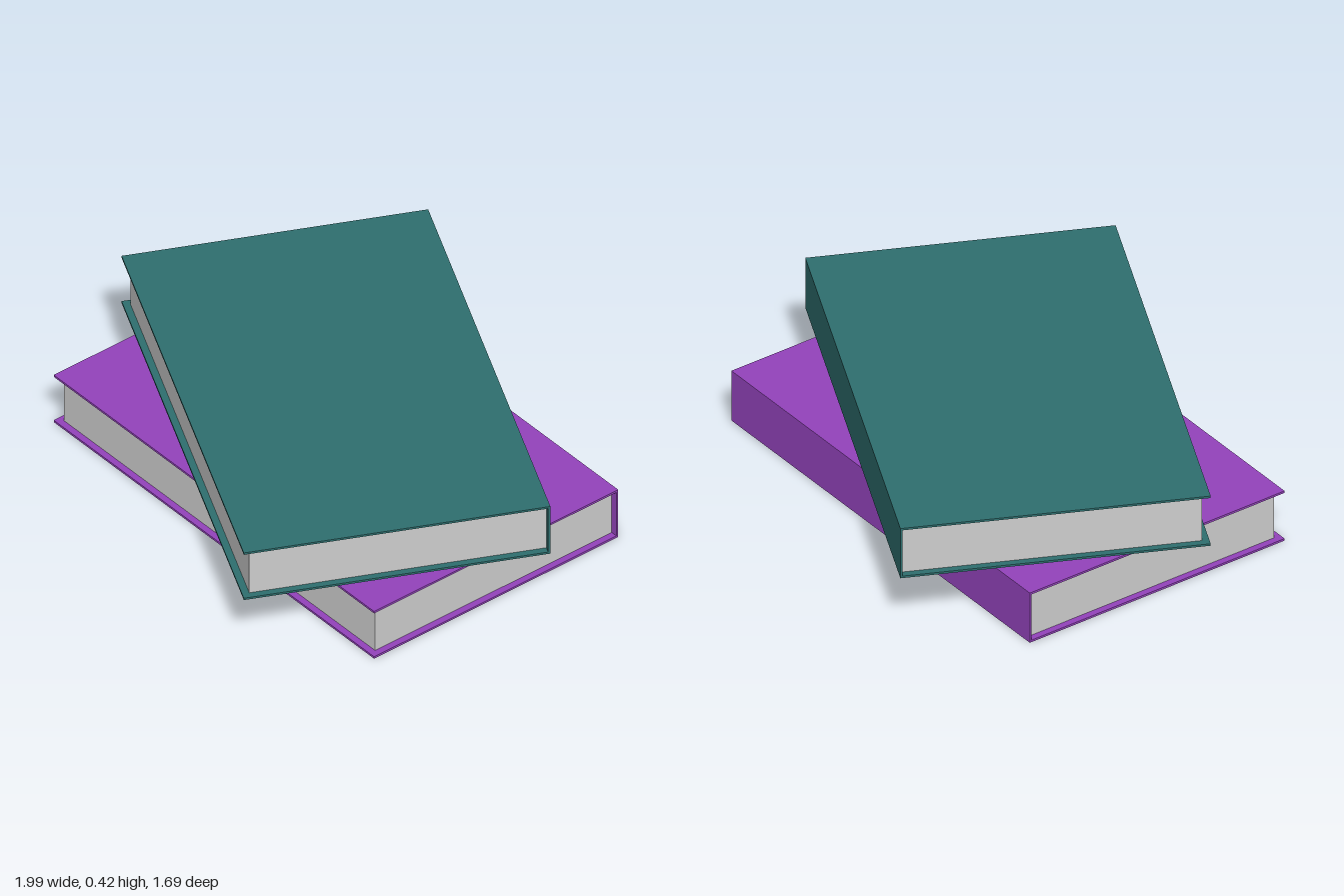
import * as THREE from 'three';

const LENGTH = 1.7, DEPTH = 1.065, HEIGHT = 0.2, BOARD = 0.008, INSET = 0.025;

const material = (name, color) => {
  const m = new THREE.MeshStandardMaterial({ color });
  m.name = name;
  return m;
};

// One closed hardback: spine along the back, pages inset on the other three sides
function makeBook(name, cover, paper) {
  const book = new THREE.Group();
  book.name = name;
  const add = (part, w, h, d, y, z, mat) => {
    const mesh = new THREE.Mesh(new THREE.BoxGeometry(w, h, d), mat);
    mesh.name = part;
    mesh.position.set(0, y, z);
    book.add(mesh);
  };

  // Cover boards and spine
  add('bottomCover', LENGTH, BOARD, DEPTH, BOARD / 2, 0, cover);
  add('topCover', LENGTH, BOARD, DEPTH, HEIGHT - BOARD / 2, 0, cover);
  add('spine', LENGTH, HEIGHT - 2 * BOARD, BOARD, HEIGHT / 2, -DEPTH / 2 + BOARD / 2, cover);

  // Page block, touching the spine
  const pageDepth = DEPTH - BOARD - INSET;
  add('pages', LENGTH - 2 * INSET, HEIGHT - 2 * BOARD, pageDepth,
    HEIGHT / 2, -DEPTH / 2 + BOARD + pageDepth / 2, paper);
  return book;
}

export function createModel() {
  const model = new THREE.Group();
  model.name = 'bookStack';
  const paper = material('paper', 0xcccccc);
  const purple = material('purpleCover', 0x9242ba);
  const teal = material('tealCover', 0x2e6e6e);

  const lower = makeBook('lowerBook', purple, paper);
  lower.position.y = 0.002;

  // Upper book lies turned across the lower one
  const upper = makeBook('upperBook', teal, paper);
  upper.position.y = 0.219;
  upper.rotation.y = THREE.MathUtils.degToRad(-25.4);

  model.add(lower, upper);
  return model;
}
